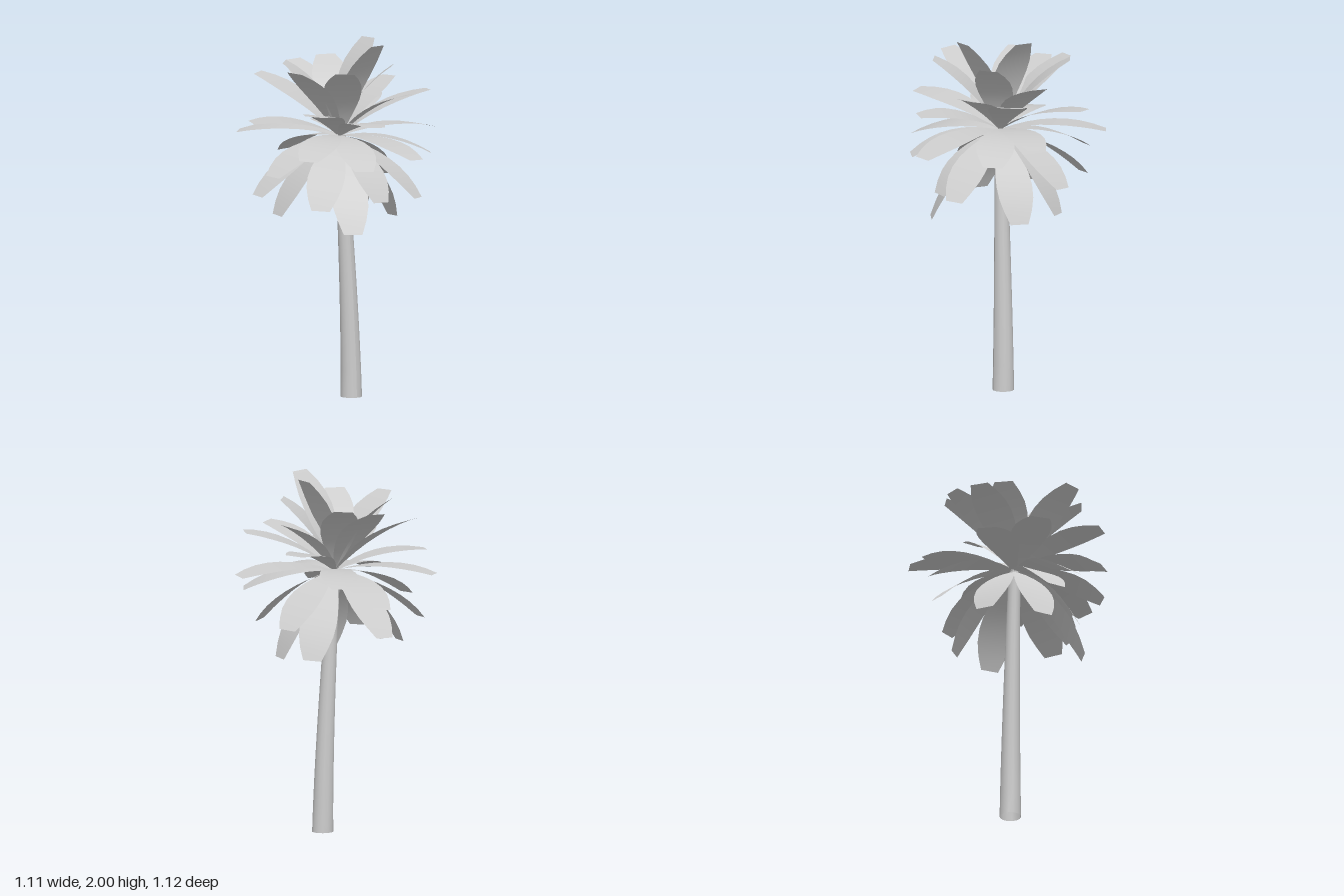
import * as THREE from 'three';

const paleGrey = new THREE.MeshStandardMaterial({ color: 0xcccccc, side: THREE.DoubleSide });

const TRUNK_HEIGHT = 1.47;
const CROWN = new THREE.Vector3(-0.033, 1.47, 0);

// Leaf tips (x, y, z) from the upright heart of the crown to the hanging skirt
const TIPS = [
  [0.055, 2.0, 0.26], [0.185, 2.0, -0.05], [-0.27, 1.88, -0.2],
  [-0.2, 1.87, 0.33], [0.21, 1.87, 0.17], [-0.42, 1.87, 0.155],
  [-0.08, 1.85, -0.42], [0.1, 1.87, -0.365], [-0.33, 1.8, -0.385],
  [0.34, 1.77, -0.08], [0.23, 1.72, 0.32], [0.465, 1.71, 0.13],
  [-0.41, 1.65, 0.345], [0.39, 1.64, -0.335], [-0.08, 1.58, 0.47],
  [-0.54, 1.57, -0.11], [0.555, 1.48, 0.02], [0.2, 1.47, -0.54],
  [-0.45, 1.48, -0.4], [-0.445, 1.4, 0.34], [0.14, 1.39, 0.54],
  [0.42, 1.37, 0.23], [-0.06, 1.33, -0.53], [-0.165, 1.34, 0.48],
  [-0.53, 1.29, 0.1], [0.37, 1.2, -0.21], [-0.555, 1.17, -0.02],
  [-0.08, 1.17, -0.52], [0.24, 1.15, 0.39], [0.005, 1.14, 0.38],
  [-0.31, 1.1, 0.25], [0.23, 1.02, -0.24], [0.3, 1.0, 0.02],
  [-0.165, 0.97, 0.36], [-0.42, 1.05, -0.03], [-0.2, 1.12, -0.28],
];

// Half-width along the leaf: narrow stem, widening steadily, blunt tip
const HALF_WIDTHS = [0.01, 0.036, 0.061, 0.083, 0.099, 0.106, 0.101, 0.082, 0.053];

function leafGeometry(tip) {
  const chord = tip.clone().sub(CROWN);
  const side = new THREE.Vector3(-chord.z, 0, chord.x).normalize();
  // Bow the midrib upward, square to the line from crown to tip
  const bow = side.clone().cross(chord).normalize();
  if (bow.y < 0) bow.negate();
  const control = CROWN.clone().addScaledVector(chord, 0.5).addScaledVector(bow, 0.09);
  const midrib = new THREE.QuadraticBezierCurve3(CROWN, control, tip);
  // Roll the blade slightly about its length
  side.addScaledVector(bow, 0.05).normalize();

  const positions = [];
  const indices = [];
  HALF_WIDTHS.forEach((halfWidth, i) => {
    const centre = midrib.getPoint(i / (HALF_WIDTHS.length - 1));
    for (const s of [-1, 1]) {
      positions.push(...centre.clone().addScaledVector(side, s * halfWidth).toArray());
    }
    if (i > 0) {
      const a = 2 * (i - 1);
      indices.push(a, a + 2, a + 1, a + 1, a + 2, a + 3);
    }
  });
  const geometry = new THREE.BufferGeometry();
  geometry.setAttribute('position', new THREE.Float32BufferAttribute(positions, 3));
  geometry.setIndex(indices);
  geometry.computeVertexNormals();
  return geometry;
}

// Tapered open tube, leaning a little more towards the crown
function trunkGeometry() {
  const geometry = new THREE.CylinderGeometry(0.033, 0.06, TRUNK_HEIGHT, 14, 10, true);
  geometry.translate(0, TRUNK_HEIGHT / 2, 0);
  const p = geometry.attributes.position;
  for (let i = 0; i < p.count; i++) {
    const t = Math.max(0, p.getY(i) / TRUNK_HEIGHT);
    p.setX(i, p.getX(i) + 0.038 - 0.068 * Math.pow(t, 1.5));
    p.setZ(i, p.getZ(i) + 0.01 * (1 - t));
  }
  geometry.computeVertexNormals();
  return geometry;
}

export function createModel() {
  const palm = new THREE.Group();
  palm.name = 'palmTree';

  const trunk = new THREE.Mesh(trunkGeometry(), paleGrey);
  trunk.name = 'trunk';
  palm.add(trunk);

  const crown = new THREE.Group();
  crown.name = 'crown';
  TIPS.forEach((tip, i) => {
    const leaf = new THREE.Mesh(leafGeometry(new THREE.Vector3(...tip)), paleGrey);
    leaf.name = `leaf${i + 1}`;
    crown.add(leaf);
  });
  palm.add(crown);

  return palm;
}
